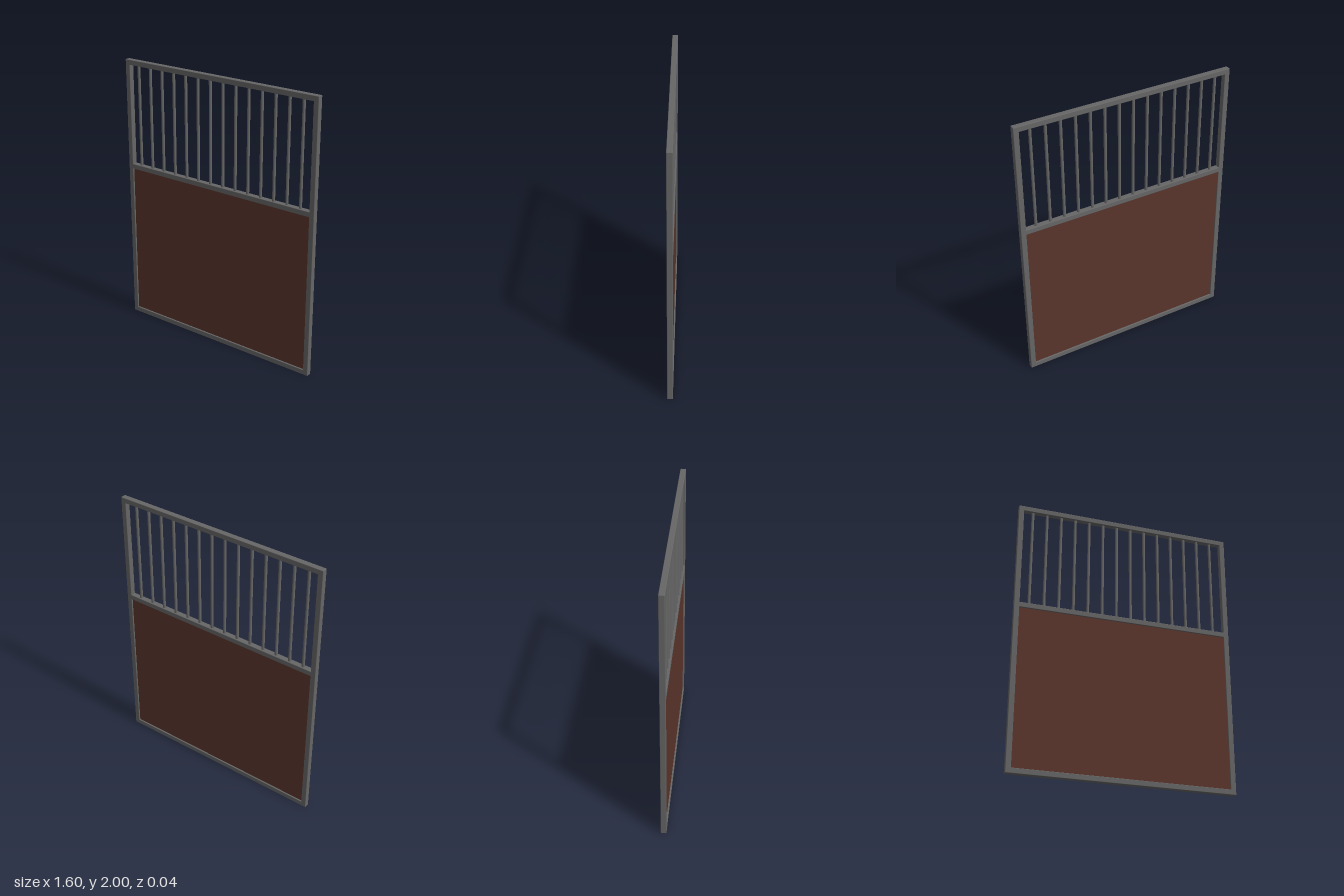
import * as THREE from 'three';
import { RoundedBoxGeometry } from 'three/addons/geometries/RoundedBoxGeometry.js';

export function createModel() {
  const group = new THREE.Group();
  group.name = 'stallPanel';

  const steel = new THREE.MeshStandardMaterial({ color: 0x666666 });
  steel.name = 'grey steel';
  const board = new THREE.MeshStandardMaterial({ color: 0x5a352c });
  board.name = 'brown board';

  const W = 1.6, H = 2, T = 0.038, D = 0.04;
  const midY = 1.204;

  const add = (name, geometry, material, x, y, z = 0) => {
    const mesh = new THREE.Mesh(geometry, material);
    mesh.name = name;
    mesh.position.set(x, y, z);
    group.add(mesh);
  };

  // Square-tube uprights, full height
  for (const [name, side] of [['leftUpright', 1], ['rightUpright', -1]]) {
    add(name, new RoundedBoxGeometry(T, H, D, 2, 0.004), steel, side * (W - T) / 2, H / 2);
  }

  // Cross rails between the uprights, let slightly into them
  const rails = [['bottomRail', T / 2], ['middleRail', midY], ['topRail', H - T / 2]];
  for (const [name, y] of rails) {
    add(name, new RoundedBoxGeometry(W - T, T, D, 2, 0.004), steel, 0, y);
  }

  // Solid lower infill, recessed behind the frame faces
  const boardH = midY - T;
  add('lowerBoard', new THREE.BoxGeometry(W - 2 * T, boardH, 0.02), board, 0, T / 2 + midY / 2);

  // Round bars of the upper grille
  const barCount = 14, spacing = 0.1058, firstX = -0.693;
  const barBottom = midY + T / 2 - 0.005, barTop = H - T + 0.005;
  const barGeometry = new THREE.CylinderGeometry(0.0105, 0.0105, barTop - barBottom, 16, 1, true);
  for (let i = 0; i < barCount; i++) {
    add('grilleBar' + (i + 1), barGeometry, steel, firstX + i * spacing, (barTop + barBottom) / 2);
  }

  return group;
}
